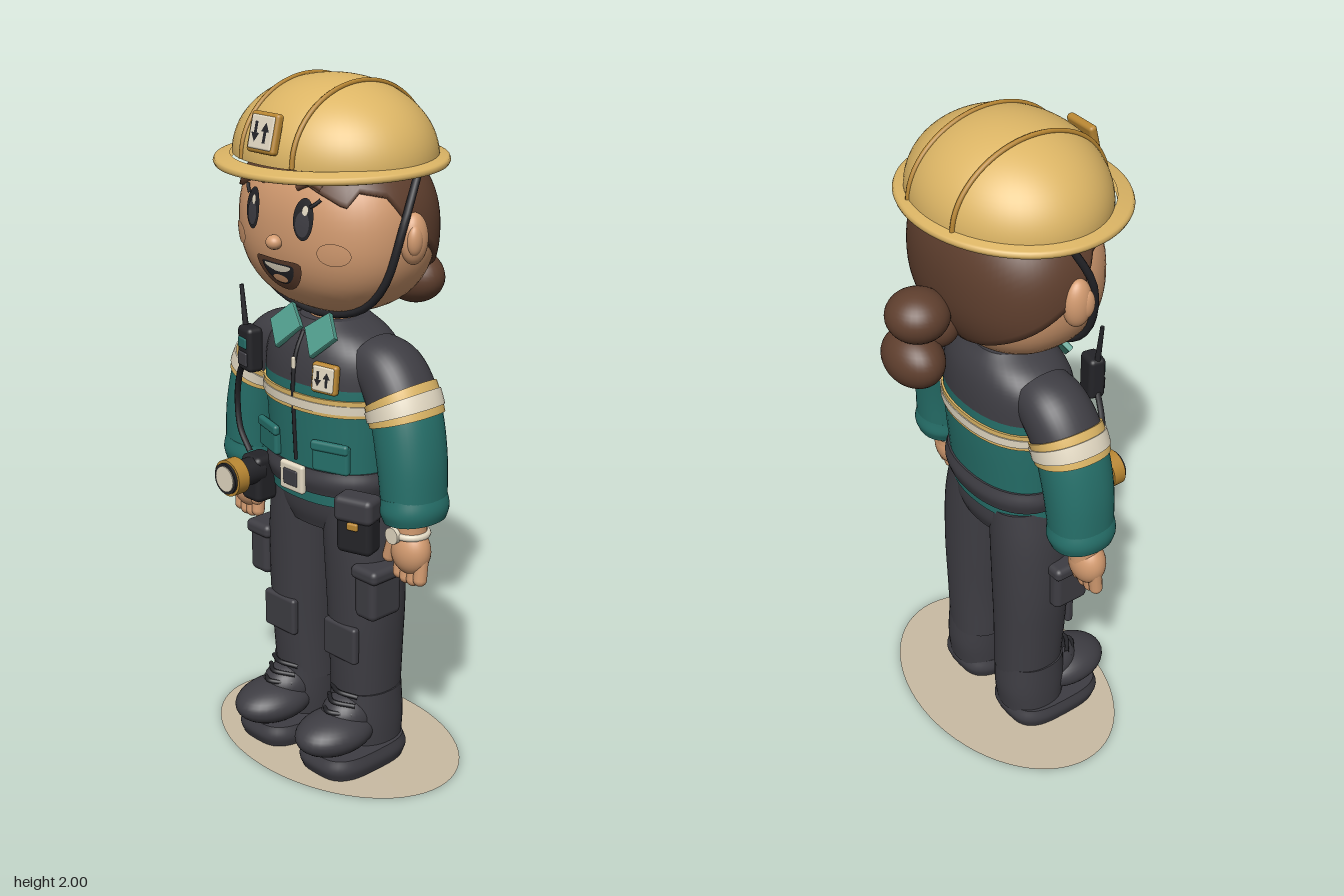
import * as THREE from 'three';
import { RoundedBoxGeometry } from 'three/addons/geometries/RoundedBoxGeometry.js';

const mat = (name, color, side = THREE.FrontSide) => {
  const m = new THREE.MeshStandardMaterial({ color, side });
  m.name = name;
  return m;
};
const V = (x, y, z) => new THREE.Vector3(x, y, z);
const spow = (c, e) => Math.sign(c) * Math.abs(c) ** e;

// Closed-around surface from f(u, row); u runs round, rows run along
function grid(nu, rows, f) {
  const pos = [], idx = [];
  for (let j = 0; j < rows; j++) for (let i = 0; i < nu; i++) pos.push(...f(i / nu, j));
  for (let j = 0; j < rows - 1; j++) for (let i = 0; i < nu; i++) {
    const k = (i + 1) % nu, a = j * nu + i, b = j * nu + k, c = a + nu, d = b + nu;
    idx.push(a, c, b, b, c, d);
  }
  const g = new THREE.BufferGeometry();
  g.setAttribute('position', new THREE.Float32BufferAttribute(pos, 3));
  g.setIndex(idx);
  g.computeVertexNormals();
  return g;
}

// Capped limb through points [x, y, z, radius across, radius in z], listed upward
function loft(pts, t0 = 0, t1 = 1, grow = 0, p = 2.2) {
  const curve = a => new THREE.CatmullRomCurve3(a, false, 'catmullrom');
  const C = curve(pts.map(q => V(q[0], q[1], q[2]))), R = curve(pts.map(q => V(q[3], q[4], 0)));
  const M = 16;
  return grid(40, M + 5, (u, j) => {
    const t = t0 + (t1 - t0) * Math.min(Math.max((j - 2) / M, 0), 1);
    const k = j === 0 || j === M + 4 ? 0 : 1;
    const c = C.getPoint(t), r = R.getPoint(t), T = C.getTangent(t).setZ(0).normalize();
    const a = u * Math.PI * 2;
    const w = k * (r.x + grow) * spow(Math.cos(a), 2 / p), d = k * (r.y + grow) * spow(Math.sin(a), 2 / p);
    return [c.x + T.y * w, c.y - T.x * w, c.z + d];
  });
}

// Head surface: a slightly squared ellipsoid
const HC = V(0, 1.6, 0.025), HR = V(0.295, 0.245, 0.222), HP = 2.3;
function headPoint(phi, theta, k = 1) {
  const d = [Math.sin(theta) * Math.sin(phi), Math.cos(theta), Math.sin(theta) * Math.cos(phi)];
  const r = (Math.abs(d[0] / HR.x) ** HP + Math.abs(d[1] / HR.y) ** HP + Math.abs(d[2] / HR.z) ** HP) ** (-1 / HP) * k;
  return [d[0] * r, HC.y + d[1] * r, HC.z + d[2] * r];
}
const headZ = (x, y) => HC.z + HR.z *
  Math.max(0, 1 - Math.abs(x / HR.x) ** HP - Math.abs((y - HC.y) / HR.y) ** HP) ** (1 / HP);

// Hairline as polar angle against distance from the front, in degrees
const hairline = [[0, 54], [25, 57], [42, 66], [52, 72], [60, 64], [75, 68], [88, 86], [110, 102], [140, 122], [180, 142]];
function hairEdge(phi) {
  const d = Math.abs(phi > Math.PI ? phi - 2 * Math.PI : phi) * 180 / Math.PI;
  const i = Math.max(1, hairline.findIndex(h => h[0] >= d));
  const [a, b] = [hairline[i - 1], hairline[i]];
  return (a[1] + (b[1] - a[1]) * (d - a[0]) / (b[0] - a[0])) * Math.PI / 180;
}

export function createModel() {
  const root = new THREE.Group();
  const D = THREE.DoubleSide;
  const gold = mat('gold', 0xdcb565, D), amber = mat('amber', 0xb88632), skin = mat('skin', 0xd39b70),
    brown = mat('brown', 0x5f3f2e, D), charcoal = mat('charcoal', 0x3e3d43), teal = mat('teal', 0x26706a),
    mint = mat('lightTeal', 0x4f9a8a), cream = mat('cream', 0xe2d8c2), black = mat('black', 0x242428),
    ground = mat('groundTan', 0xc9bba3, D);

  const add = (name, geo, m, pos, parent = root, rot, scale) => {
    const o = new THREE.Mesh(geo, m);
    o.name = name;
    if (pos) o.position.set(...pos);
    if (rot) o.rotation.set(...rot);
    if (scale) o.scale.set(...scale);
    parent.add(o);
    return o;
  };
  const ball = (name, m, pos, r, parent, rot) => add(name, new THREE.SphereGeometry(1, 32, 20), m, pos, parent, rot, r);
  const box = (name, m, pos, s, parent, rot, r = 0.01) =>
    add(name, new RoundedBoxGeometry(...s, 3, Math.min(r, ...s.map(v => v * 0.45))), m, pos, parent, rot);
  const tube = (name, m, pts, r, parent) =>
    add(name, new THREE.TubeGeometry(new THREE.CatmullRomCurve3(pts.map(p => V(...p))), 32, r, 8), m, null, parent);
  const group = (name, parent = root) => {
    const g = new THREE.Group();
    g.name = name;
    parent.add(g);
    return g;
  };
  const pair = (name, build) => [1, -1].forEach(s => {
    const g = group((s > 0 ? 'left' : 'right') + name);
    build(g, s);
    g.scale.x = s;
  });

  // Ground disc
  add('groundDisc', new THREE.CircleGeometry(1, 64), ground, [0, 0.001, 0.025], root, [-Math.PI / 2, 0, 0], [0.43, 0.295, 1]);

  // Legs, boots and thigh pockets
  add('hips', loft([[0, 0.73, 0.03, 0.16, 0.11], [0, 0.78, 0.03, 0.195, 0.125], [0, 0.86, 0.035, 0.198, 0.128]]), charcoal);
  pair('Leg', g => {
    add('trouserLeg', loft([[0.12, 0.19, 0.022, 0.098, 0.102], [0.124, 0.35, 0.025, 0.102, 0.108],
      [0.124, 0.52, 0.026, 0.11, 0.113], [0.116, 0.7, 0.028, 0.11, 0.117], [0.1, 0.83, 0.03, 0.1, 0.115]]), charcoal, null, g);
    add('sole', loft([[0.134, 0.004, 0.087, 0.108, 0.15], [0.134, 0.035, 0.087, 0.115, 0.16], [0.134, 0.068, 0.087, 0.108, 0.15]], 0, 1, 0, 3.2), charcoal, null, g);
    add('bootShaft', loft([[0.13, 0.05, 0.025, 0.097, 0.1], [0.128, 0.13, 0.025, 0.1, 0.108], [0.125, 0.23, 0.025, 0.1, 0.103]]), charcoal, null, g);
    ball('bootToe', charcoal, [0.134, 0.118, 0.16], [0.098, 0.062, 0.133], g);
    ball('bootTongue', charcoal, [0.13, 0.155, 0.1], [0.075, 0.07, 0.09], g);
    for (let i = 0; i < 3; i++)
      tube('bootLace', black, [[0.075, 0.18 + i * 0.024, 0.14 - i * 0.012], [0.13, 0.187 + i * 0.024, 0.185 - i * 0.022],
        [0.185, 0.18 + i * 0.024, 0.14 - i * 0.012]], 0.007, g);
    box('kneePatch', charcoal, [0.13, 0.4, 0.13], [0.13, 0.115, 0.025], g);
    box('thighPocket', charcoal, [0.225, 0.57, 0.078], [0.08, 0.14, 0.12], g, null, 0.02);
    box('pocketFlap', charcoal, [0.226, 0.64, 0.078], [0.1, 0.042, 0.132], g, null, 0.016);
  });

  // Jacket body with dark yoke and reflective band
  const torso = [[0, 0.82, 0.038, 0.205, 0.138], [0, 0.9, 0.037, 0.207, 0.143], [0, 1.05, 0.034, 0.218, 0.153],
    [0, 1.17, 0.034, 0.225, 0.155], [0, 1.25, 0.032, 0.215, 0.145], [0, 1.3, 0.03, 0.17, 0.125], [0, 1.338, 0.03, 0.095, 0.095]];
  add('jacketBody', loft(torso, 0, 0.5), teal);
  add('jacketYoke', loft(torso, 0.5, 1), charcoal);
  add('chestBandEdge', loft(torso, 0.388, 0.457, 0.006), gold);
  add('chestBand', loft(torso, 0.402, 0.437, 0.009), cream);
  add('belt', loft([[0, 0.853, 0.036, 0.212, 0.148], [0, 0.89, 0.036, 0.222, 0.158], [0, 0.925, 0.036, 0.214, 0.15]]), charcoal);
  box('buckle', cream, [0, 0.89, 0.195], [0.096, 0.085, 0.02]);
  box('buckleCentre', charcoal, [0, 0.89, 0.203], [0.058, 0.048, 0.012]);
  tube('zipper', black, [[0, 0.94, 0.182], [0, 1.06, 0.188], [0, 1.17, 0.191], [0, 1.25, 0.179], [0, 1.31, 0.15]], 0.006);
  box('zipPull', cream, [0, 1.225, 0.189], [0.012, 0.035, 0.01]);
  pair('JacketFront', g => {
    box('chestPocket', teal, [0.127, 0.972, 0.165], [0.115, 0.085, 0.025], g, [0, 0.3, 0]);
    box('chestPocketFlap', teal, [0.127, 1.005, 0.172], [0.118, 0.03, 0.02], g, [0, 0.3, 0]);
    const lapel = new THREE.Shape([[0.012, 0.075], [0.07, 0.005], [0.128, 0.07], [0.075, 0.13]].map(p => new THREE.Vector2(...p)));
    add('collar', new THREE.ExtrudeGeometry(lapel, { depth: 0.012, bevelSize: 0.003, bevelThickness: 0.003, bevelSegments: 2 }),
      mint, [0, 1.25, 0.182], g, [-0.55, 0, 0]);
  });

  // Sleeves and hands
  const arm = [[0.332, 0.85, 0.045, 0.082, 0.094], [0.316, 1.0, 0.042, 0.09, 0.1], [0.282, 1.125, 0.036, 0.093, 0.1],
    [0.225, 1.208, 0.03, 0.09, 0.098], [0.15, 1.235, 0.03, 0.082, 0.09]];
  pair('Arm', (g, s) => {
    add('sleeve', loft(arm, 0, 0.55), teal, null, g);
    add('sleeveShoulder', loft(arm, 0.55, 1), charcoal, null, g);
    add('sleeveBandEdge', loft(arm, 0.44, 0.6, 0.006), gold, null, g);
    add('sleeveBand', loft(arm, 0.475, 0.555, 0.01), cream, null, g);
    add('cuff', loft([[0.335, 0.822, 0.046, 0.078, 0.09], [0.332, 0.855, 0.045, 0.088, 0.1], [0.326, 0.895, 0.045, 0.083, 0.096]]), teal, null, g);
    add('wrist', new THREE.CylinderGeometry(0.045, 0.045, 0.1, 24), skin, [0.335, 0.8, 0.06], g);
    ball('palm', skin, [0.34, 0.735, 0.065], [0.062, 0.07, 0.05], g);
    for (let i = 0; i < 4; i++)
      add('finger', new THREE.CapsuleGeometry(0.02, 0.055, 6, 12), skin, [0.302 + i * 0.026, 0.676 + Math.abs(i - 1.5) * 0.007, 0.066], g, [-0.1, 0, 0]);
    add('thumb', new THREE.CapsuleGeometry(0.02, 0.045, 6, 12), skin, [0.288, 0.73, 0.09], g, [0, 0, -0.3]);
    if (s > 0) {
      add('watchBand', new THREE.TorusGeometry(0.046, 0.01, 8, 28), cream, [0.335, 0.785, 0.06], g, [Math.PI / 2, 0, 0]);
      add('watchFace', new THREE.CylinderGeometry(0.024, 0.024, 0.014, 24), cream, [0.318, 0.785, 0.114], g, [Math.PI / 2, 0, 0]);
    }
  });

  // Neck, head, ears and hair
  add('neck', new THREE.CylinderGeometry(0.068, 0.072, 0.12, 32), skin, [0, 1.335, 0.03]);
  add('head', grid(64, 33, (u, j) => headPoint(u * Math.PI * 2, j / 32 * Math.PI)), skin);
  add('hair', grid(96, 26, (u, j) => {
    const phi = u * Math.PI * 2;
    return headPoint(phi, Math.min(j, 24) / 24 * hairEdge(phi), j > 24 ? 0.99 : 1.035);
  }), brown);
  ball('hairBun', brown, [0, 1.515, -0.262], [0.088, 0.072, 0.088]);
  ball('hairTail', brown, [0, 1.39, -0.28], [0.105, 0.08, 0.078]);
  ball('hairTie', brown, [0, 1.46, -0.2], [0.06, 0.06, 0.06]);
  pair('Ear', g => {
    ball('ear', skin, [0.3, 1.6, 0.03], [0.035, 0.07, 0.042], g);
    ball('earInner', skin, [0.318, 1.6, 0.045], [0.02, 0.042, 0.024], g);
  });

  // Face details lie on the head surface
  const decal = (name, m, cx, cy, rx, ry, off, warp = (x, y) => [x, y]) => {
    const g = new THREE.RingGeometry(0, 1, 36, 6), p = g.attributes.position;
    for (let i = 0; i < p.count; i++) {
      const [wx, wy] = warp(p.getX(i), p.getY(i)), x = cx + wx * rx, y = cy + wy * ry;
      p.setXYZ(i, x, y, headZ(x, y) + off);
    }
    g.computeVertexNormals();
    add(name, g, m);
  };
  for (const s of [-1, 1]) {
    decal('eye', black, s * 0.1, 1.65, 0.032, 0.056, 0.004);
    decal('iris', charcoal, s * 0.1, 1.638, 0.022, 0.034, 0.006);
    decal('eyeShine', cream, s * 0.1 + 0.008, 1.675, 0.01, 0.013, 0.008);
    decal('cheek', skin, s * 0.185, 1.565, 0.042, 0.031, 0.005);
    const onHead = (x, y) => [s * x, y, headZ(x, y) + 0.006];
    tube('eyebrow', brown, [onHead(0.065, 1.728), onHead(0.1, 1.742), onHead(0.14, 1.73)], 0.009);
    tube('eyelash', black, [onHead(0.12, 1.685), onHead(0.133, 1.694), onHead(0.145, 1.706)], 0.005);
  }
  ball('nose', skin, [0, 1.575, 0.253], [0.024, 0.02, 0.022]);
  const smile = (x, y) => [x, (y > 0 ? y * 0.45 : y) + 0.3 * x * x];
  decal('mouth', brown, 0, 1.5, 0.088, 0.062, 0.004, smile);
  decal('mouthOpening', black, 0, 1.498, 0.062, 0.042, 0.006, smile);
  decal('teeth', cream, 0, 1.507, 0.052, 0.014, 0.008, smile);
  decal('tongue', skin, 0, 1.472, 0.03, 0.012, 0.008);

  // Hard hat: dome, brim, ribs and chin strap
  add('hatDome', new THREE.SphereGeometry(1, 64, 24, 0, Math.PI * 2, 0, Math.PI / 2), gold, [0, 1.785, 0.03], root, null, [0.302, 0.213, 0.26]);
  const brim = [[0.86, 1.795], [0.97, 1.786], [0.99, 1.784], [1, 1.776], [0.99, 1.768], [0.97, 1.766], [0.86, 1.772]];
  add('hatBrim', grid(72, brim.length, (u, j) => {
    const a = u * Math.PI * 2, c = Math.cos(a), k = brim[j][0];
    return [0.334 * k * Math.sin(a), brim[j][1] - 0.008 * c, 0.03 + k * c * (c > 0 ? 0.327 : 0.287)];
  }), gold);
  for (const x of [-0.1, 0.1]) {
    const pts = [];
    for (let i = 0; i <= 16; i++) {
      const a = i / 16 * Math.PI;
      pts.push([x, 1.787 + 0.201 * Math.sin(a), 0.03 + 0.246 * Math.cos(a)]);
    }
    tube('hatRib', amber, pts, 0.007);
  }
  tube('chinStrap', black, [[0.29, 1.775, 0.005], [0.306, 1.64, 0.075], [0.265, 1.48, 0.1], [0.178, 1.395, 0.1], [0, 1.354, 0.1],
    [-0.178, 1.395, 0.1], [-0.265, 1.48, 0.1], [-0.306, 1.64, 0.075], [-0.29, 1.775, 0.005]], 0.011);

  // Framed plates with an up and a down arrow
  const arrow = new THREE.ShapeGeometry(new THREE.Shape([[-0.15, -0.5], [0.15, -0.5], [0.15, 0.05], [0.42, 0.05], [0, 0.5],
    [-0.42, 0.05], [-0.15, 0.05]].map(p => new THREE.Vector2(...p))));
  const badge = (name, size, pos, rot) => {
    const g = group(name);
    g.position.set(...pos);
    g.rotation.set(...rot);
    box('badgeFrame', amber, [0, 0, 0], [size, size, 0.024], g);
    box('badgePlate', cream, [0, 0, 0.01], [size * 0.82, size * 0.82, 0.012], g, null, 0.005);
    for (const s of [-1, 1])
      add('badgeArrow', arrow, black, [s * size * 0.17, 0, 0.0175], g, [0, 0, s > 0 ? 0 : Math.PI], [size * 0.34, size * 0.5, 1]);
  };
  badge('hatBadge', 0.108, [0, 1.868, 0.278], [-0.25, 0, 0]);
  badge('chestBadge', 0.085, [0.115, 1.203, 0.175], [-0.1, 0.2, 0]);

  // Shoulder radio with aerial and cord
  const radio = group('radio');
  box('radioBody', black, [-0.168, 1.232, 0.2], [0.07, 0.13, 0.05], radio, [0, -0.2, 0], 0.014);
  box('radioScreen', teal, [-0.172, 1.252, 0.226], [0.042, 0.03, 0.008], radio, [0, -0.2, 0]);
  box('radioGrille', charcoal, [-0.172, 1.205, 0.226], [0.046, 0.04, 0.008], radio, [0, -0.2, 0]);
  add('aerial', new THREE.CylinderGeometry(0.006, 0.009, 0.13, 12), black, [-0.197, 1.345, 0.197], radio, [0, 0, 0.12]);
  tube('radioCord', black, [[-0.19, 1.19, 0.2], [-0.245, 1.14, 0.175], [-0.278, 1.05, 0.16], [-0.262, 0.96, 0.165], [-0.215, 0.9, 0.17]], 0.009, radio);

  // Belt lamp facing forward
  const lamp = group('beltLamp');
  box('lampHolder', black, [-0.175, 0.835, 0.17], [0.08, 0.14, 0.08], lamp, null, 0.018);
  const disc = (name, m, r, len, z) => add(name, new THREE.CylinderGeometry(r, r, len, 32), m, [-0.17, 0.862, z], lamp, [Math.PI / 2, 0, 0]);
  disc('lampBody', black, 0.04, 0.09, 0.225);
  disc('lampHead', amber, 0.054, 0.04, 0.275);
  disc('lampRim', black, 0.046, 0.02, 0.293);
  disc('lampLens', cream, 0.038, 0.008, 0.302);

  // Belt pouch
  const pouch = group('beltPouch');
  box('pouchBody', black, [0.235, 0.805, 0.165], [0.11, 0.155, 0.07], pouch, [0, 0.3, 0], 0.018);
  box('pouchFlap', charcoal, [0.237, 0.86, 0.17], [0.12, 0.075, 0.078], pouch, [0, 0.3, 0], 0.018);
  box('pouchButton', amber, [0.249, 0.815, 0.202], [0.034, 0.022, 0.012], pouch, [0, 0.3, 0]);
  return root;
}
